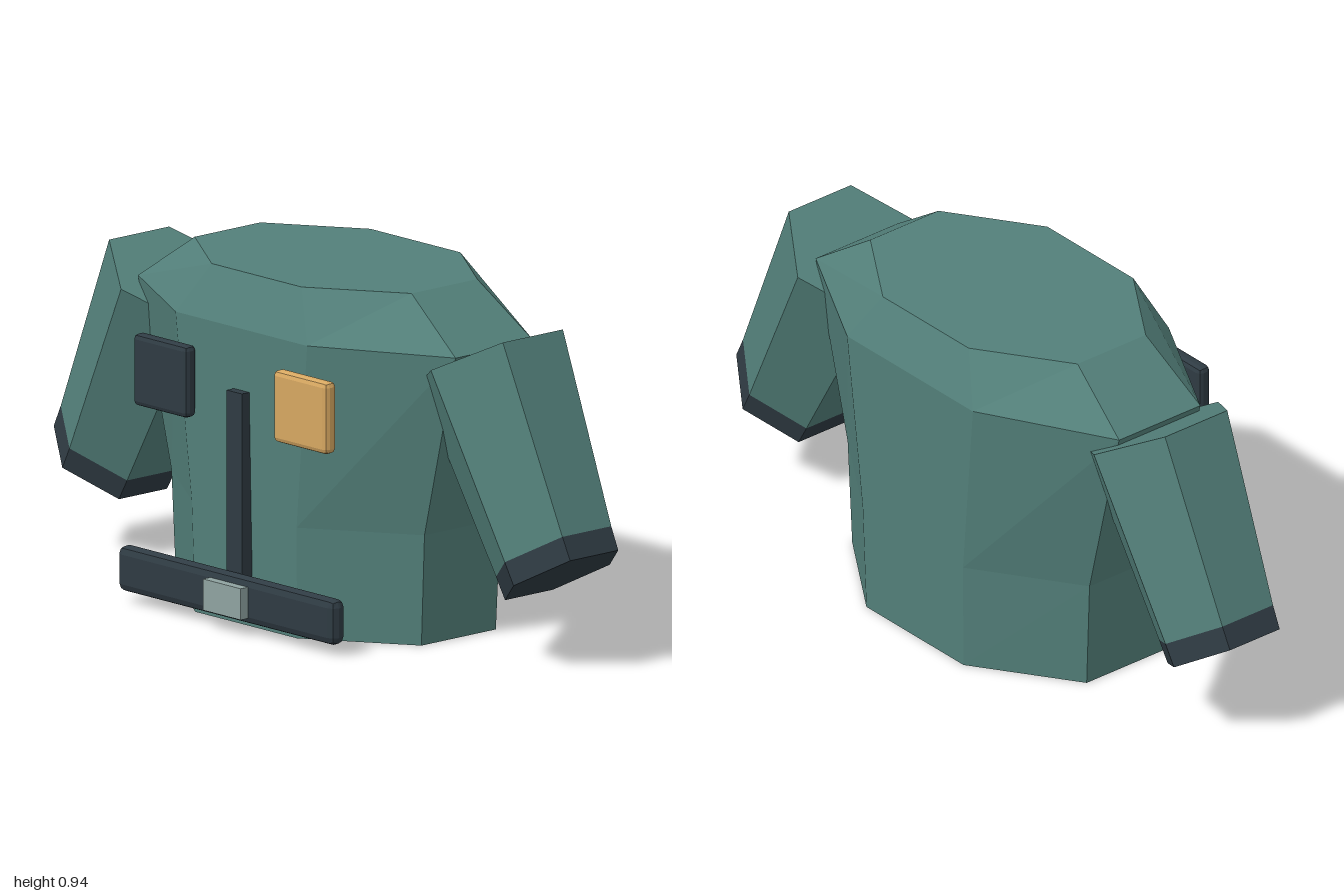
import * as THREE from 'three';
import { RoundedBoxGeometry } from 'three/addons/geometries/RoundedBoxGeometry.js';

const CENTER_Z = -0.042;

// Closed, faceted solid through a stack of rings (bottom to top, counter-clockwise from above)
function loft(rings) {
  const n = rings[0].length;
  const points = [];
  const tri = (a, b, c) => points.push(a, b, c);
  for (let r = 0; r < rings.length - 1; r++) {
    for (let i = 0; i < n; i++) {
      const j = (i + 1) % n;
      tri(rings[r][i], rings[r][j], rings[r + 1][j]);
      tri(rings[r][i], rings[r + 1][j], rings[r + 1][i]);
    }
  }
  const bottom = rings[0], top = rings[rings.length - 1];
  for (let i = 1; i < n - 1; i++) {
    tri(bottom[0], bottom[i + 1], bottom[i]);
    tri(top[0], top[i], top[i + 1]);
  }
  const geometry = new THREE.BufferGeometry().setFromPoints(points);
  geometry.computeVertexNormals();
  return geometry;
}

// Ring of `sides` points around (x, y), tilted about z
function ring(sides, x, y, rx, rz, tilt = 0) {
  return Array.from({ length: sides }, (_, i) => {
    const a = ((i + 0.5) / sides) * Math.PI * 2;
    const u = Math.cos(a) * rx;
    return new THREE.Vector3(
      x + u * Math.cos(tilt),
      y + u * Math.sin(tilt),
      CENTER_Z - Math.sin(a) * rz
    );
  });
}

export function createModel() {
  const model = new THREE.Group();
  model.name = 'jacket';

  const material = (name, color) => {
    const m = new THREE.MeshStandardMaterial({ color, flatShading: true });
    m.name = name;
    return m;
  };
  const green = material('greenCloth', 0x53807a);
  const dark = material('darkTrim', 0x2f3b43);
  const gold = material('goldPatch', 0xd6a761);
  const grey = material('greyMetal', 0x8fa3a1);

  const add = (name, geometry, mat, x = 0, y = 0, z = 0) => {
    const mesh = new THREE.Mesh(geometry, mat);
    mesh.name = name;
    mesh.position.set(x, y, z);
    model.add(mesh);
  };

  // Torso: octagonal sections given as [y, half width, half depth]
  const k = 1 / Math.cos(Math.PI / 8);
  const sections = [
    [0, 0.475, 0.318],
    [0.3, 0.49, 0.325],
    [0.8, 0.615, 0.335],
    [0.935, 0.42, 0.281],
  ];
  add('torso', loft(sections.map(([y, w, d]) => ring(8, 0, y, w * k, d * k))), green);

  // Sleeves and cuffs: tapered hexagons, mirrored
  for (const [side, s] of [['left', 1], ['right', -1]]) {
    const hex = (x, y, r, degrees) =>
      ring(6, s * x, y, r, r, s * THREE.MathUtils.degToRad(degrees));
    const shoulder = hex(0.6, 0.777, 0.2125, 28);
    const wrist = hex(0.843, 0.298, 0.173, 31);
    const hem = hex(0.874, 0.24, 0.17, 31);
    add(side + 'Sleeve', loft([wrist, shoulder]), green);
    add(side + 'Cuff', loft([hem, wrist]), dark);
  }

  // Chest pockets
  const pocket = () => new RoundedBoxGeometry(0.208, 0.194, 0.04, 1, 0.014);
  add('rightPocket', pocket(), dark, -0.274, 0.629, 0.314);
  add('leftPocket', pocket(), gold, 0.268, 0.629, 0.314);

  // Front placket, belt and buckle
  add('placket', new THREE.BoxGeometry(0.06, 0.582, 0.035), dark, -0.003, 0.342, 0.298);
  add('belt', new RoundedBoxGeometry(0.84, 0.124, 0.05, 1, 0.022), dark, 0, 0.09, 0.328);
  add('buckle', new THREE.BoxGeometry(0.146, 0.084, 0.035), grey, 0.018, 0.089, 0.361);

  return model;
}
